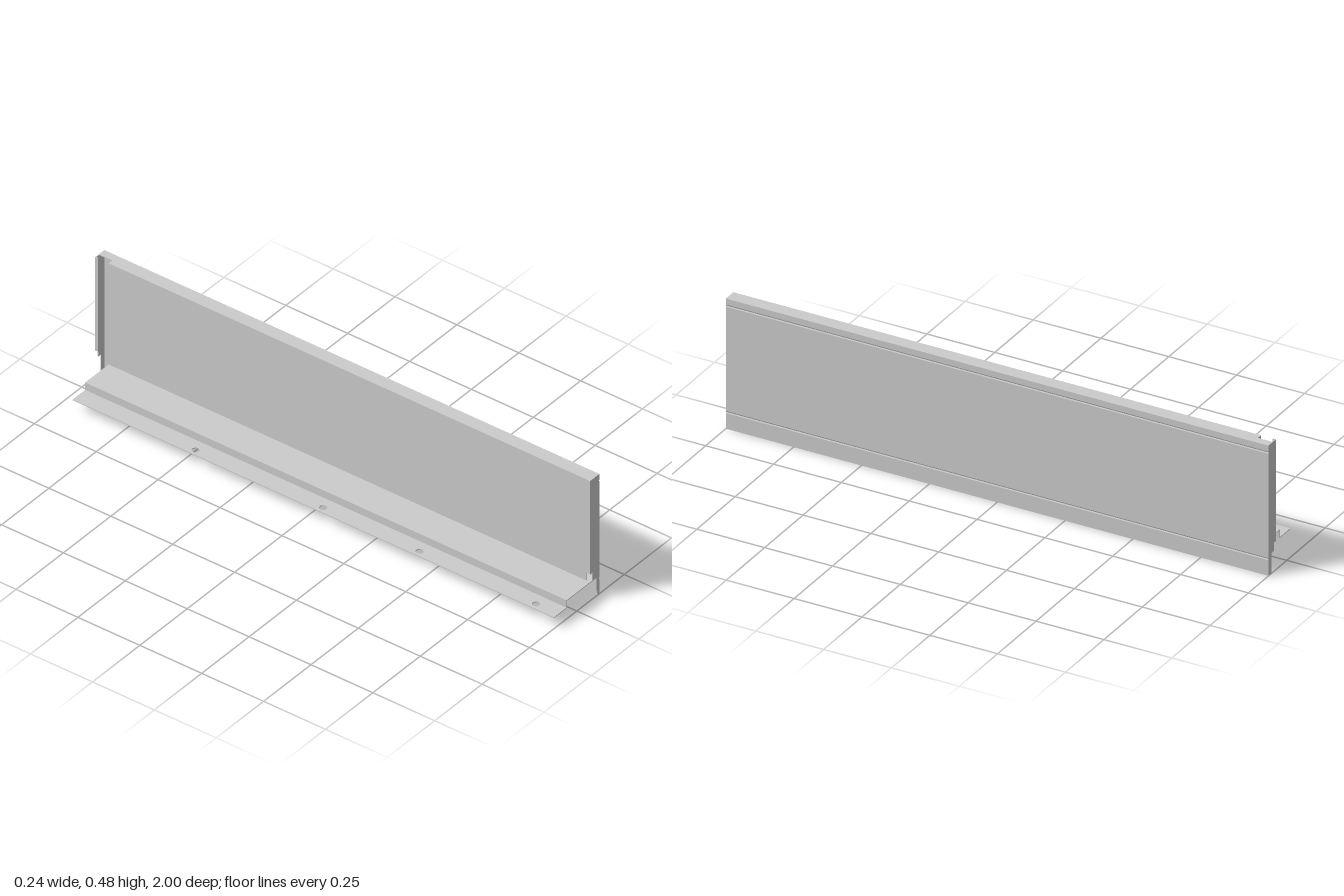
import * as THREE from 'three';

const T = 0.003; // sheet thickness
const material = new THREE.MeshStandardMaterial({ color: 0xcccccc, flatShading: true });

// Extrude an x/y outline between two z positions
function plate(name, points, z0, z1) {
  const shape = new THREE.Shape(points.map(([x, y]) => new THREE.Vector2(x, y)));
  const geometry = new THREE.ExtrudeGeometry(shape, { depth: z1 - z0, bevelEnabled: false });
  geometry.translate(0, 0, z0);
  const mesh = new THREE.Mesh(geometry, material);
  mesh.name = name;
  return mesh;
}

// Box given by its limits
function box(name, x0, x1, y0, y1, z0, z1) {
  const mesh = new THREE.Mesh(new THREE.BoxGeometry(x1 - x0, y1 - y0, z1 - z0), material);
  mesh.position.set((x0 + x1) / 2, (y0 + y1) / 2, (z0 + z1) / 2);
  mesh.name = name;
  return mesh;
}

// Horizontal sheet given by an x/z outline, with round holes
function sheet(name, x0, x1, z0, z1, top, holes) {
  const shape = new THREE.Shape();
  shape.moveTo(x0, -z1).lineTo(x1, -z1).lineTo(x1, -z0).lineTo(x0, -z0).closePath();
  for (const [x, z, r] of holes) {
    shape.holes.push(new THREE.Path().absarc(x, -z, r, 0, Math.PI * 2, true));
  }
  const geometry = new THREE.ExtrudeGeometry(shape, { depth: T, bevelEnabled: false, curveSegments: 16 });
  geometry.rotateX(-Math.PI / 2);
  geometry.translate(0, top - T, 0);
  const mesh = new THREE.Mesh(geometry, material);
  mesh.name = name;
  return mesh;
}

export function createModel() {
  const model = new THREE.Group();
  model.name = 'sidePanel';
  const R = 0.119, L = 0.07, H = 0.476, shelfY = 0.074, flangeY = 0.045;
  const back = -0.945, notchY = 0.105, notchX = 0.084;

  // Outer skin with two shallow V grooves
  const skin = [[R - T, 0], [R, 0]];
  for (const y of [0.061, 0.45]) skin.push([R, y - 0.004], [R - 0.002, y], [R, y + 0.004]);
  skin.push([R, H], [R - T, H]);
  model.add(plate('outerSkin', skin, -1, 1));

  // Top cover, narrower behind the inner wall
  model.add(box('topCover', L, R - T, H - T, H, back, 1));
  model.add(box('topCoverRear', 0.09, R - T, H - T, H, -1 + T, back));

  // Inner wall, cut back at the lower front corner
  model.add(box('innerWall', L, L + T, notchY, H - T, back, 1));
  model.add(box('innerWallFoot', L, L + T, shelfY, notchY, back, 0.985));
  model.add(box('innerWallReturn', L + T, 0.107, shelfY, H - T, back, back + T));

  // Front end plate with a notch and a tapered lower tab
  model.add(plate('frontEndPlate', [
    [L, notchY], [notchX, notchY], [notchX, shelfY], [0.104, shelfY], [0.104, 0.03],
    [0.112, 0], [R - T, 0], [R - T, H - T], [L, H - T],
  ], 1 - T, 1));

  // Rear end plate with a straight lower tab and a hooked lip
  model.add(plate('rearEndPlate', [
    [L, notchY], [notchX, notchY], [notchX, shelfY], [0.099, shelfY], [0.099, 0],
    [R - T, 0], [R - T, H], [L, H],
  ], -1, -1 + T));
  model.add(box('rearLip', L, L + T, notchY, H, -1 + T, -0.988));

  // Stepped bottom shelf with screw holes in the lower flange
  const holes = [-0.465, 0.05, 0.44, 0.91].map((z) => [-0.098, z, 0.013]);
  model.add(sheet('shelf', -0.054, 0.104, back, 1, shelfY, []));
  model.add(box('shelfStep', -0.054, -0.054 + T, flangeY - T, shelfY - T, back, 1));
  model.add(sheet('mountingFlange', -0.12, -0.054, back, 1, flangeY, holes));

  return model;
}
